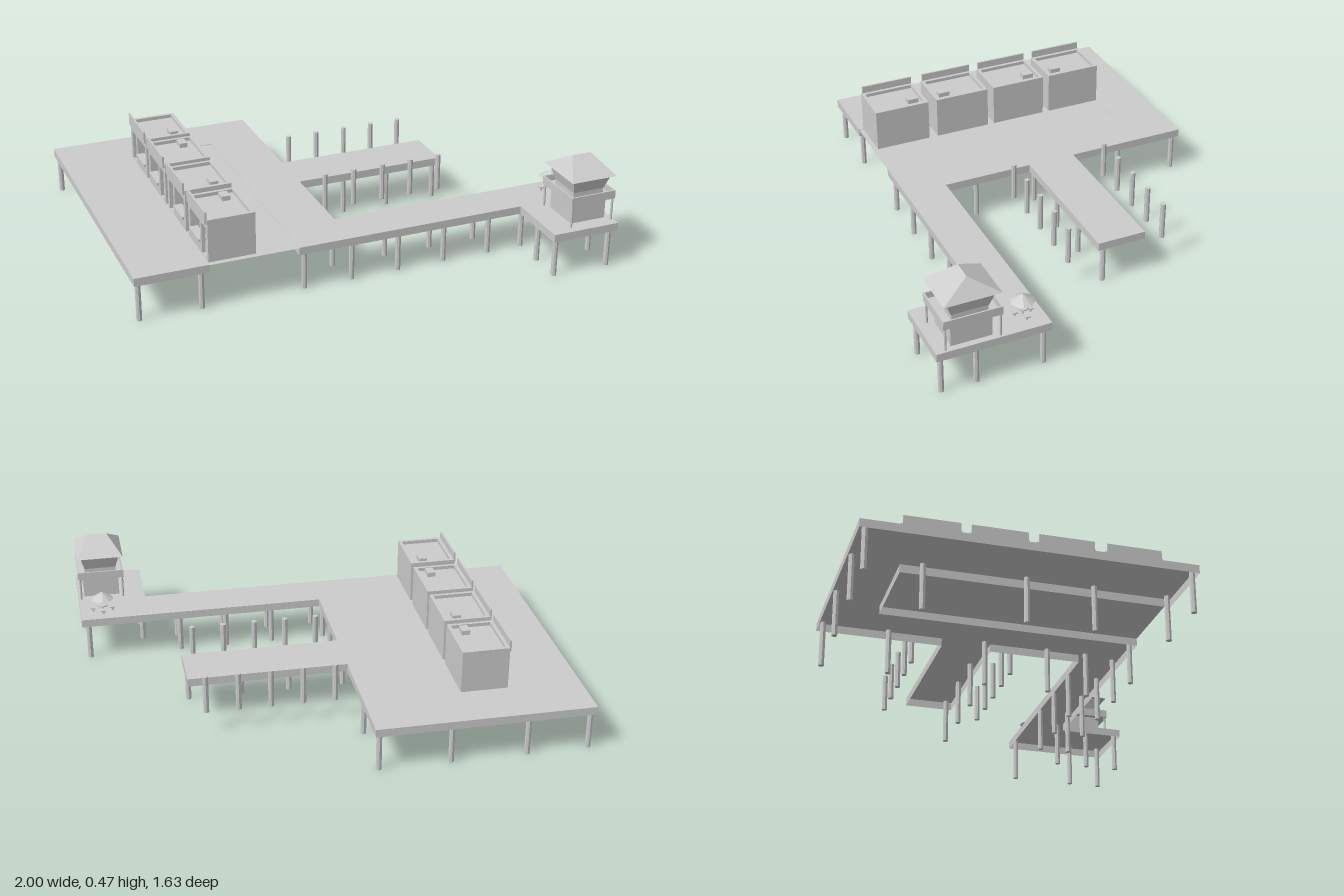
import * as THREE from 'three';

const mat = new THREE.MeshStandardMaterial({ color: 0xcccccc, flatShading: true, side: THREE.DoubleSide });

export function createModel() {
  const root = new THREE.Group();
  root.name = 'harbourDock';

  const add = (name, geo, x = 0, y = 0, z = 0, parent = root) => {
    const m = new THREE.Mesh(geo, mat);
    m.name = name;
    m.position.set(x, y, z);
    parent.add(m);
    return m;
  };
  // box given by its min and max corners
  const box = (name, x0, x1, y0, y1, z0, z1, parent) =>
    add(name, new THREE.BoxGeometry(x1 - x0, y1 - y0, z1 - z0), (x0 + x1) / 2, (y0 + y1) / 2, (z0 + z1) / 2, parent);
  const post = (name, x, z, y0, y1, r, parent) =>
    add(name, new THREE.CylinderGeometry(r, r, y1 - y0, 8), x, (y0 + y1) / 2, z, parent);
  // square tube or pyramid section with half sizes at bottom and top
  const taper = (name, x, z, y0, y1, a0, b0, a1, b1, parent) => {
    const g = new THREE.BoxGeometry(2, y1 - y0, 2);
    const p = g.attributes.position;
    for (let i = 0; i < p.count; i++) {
      const top = p.getY(i) > 0;
      p.setX(i, p.getX(i) * (top ? a1 : a0));
      p.setZ(i, p.getZ(i) * (top ? b1 : b0));
    }
    g.computeVertexNormals();
    return add(name, g, x, (y0 + y1) / 2, z, parent);
  };

  // Deck: open-bottomed sheet with a skirt along its outline
  const outline = [
    [-1, -0.815], [-0.08, -0.815], [-0.08, -0.275], [0.6, -0.275], [0.6, -0.06], [-0.08, -0.06],
    [-0.08, 0.34], [1, 0.34], [1, 0.815], [0.7, 0.815], [0.7, 0.525], [-0.31, 0.525],
    [-0.31, -0.595], [-0.69, -0.595], [-0.69, 0.525], [-1, 0.525],
  ];
  const TOP = 0.2, LOW = 0.165;
  const deck = new THREE.Group();
  deck.name = 'deck';
  root.add(deck);
  const shape = new THREE.Shape(outline.map(([x, z]) => new THREE.Vector2(x, -z)));
  add('deckTop', new THREE.ShapeGeometry(shape).rotateX(-Math.PI / 2), 0, TOP, 0, deck);
  outline.forEach(([x, z], i) => {
    const [u, w] = outline[(i + 1) % outline.length];
    const wall = add('deckSkirt', new THREE.PlaneGeometry(Math.hypot(u - x, w - z), TOP - LOW),
      (x + u) / 2, (TOP + LOW) / 2, (z + w) / 2, deck);
    wall.rotation.y = Math.atan2(z - w, u - x);
  });
  // ground sheet in the bay below the shops
  add('shopFloor', new THREE.PlaneGeometry(0.38, 1.12).rotateX(-Math.PI / 2), -0.5, 0.198, -0.035, deck);

  // Piles, by row: z, then x positions
  const piles = [
    [-0.79, [-0.98, -0.72, -0.4, -0.1]],
    [-0.51, [-0.72, -0.1]],
    [-0.09, [-0.72, -0.1, 0.14, 0.35, 0.58]],
    [0.19, [-0.72, -0.1]],
    [0.365, [-0.1, 0.14, 0.35, 0.56, 0.97]],
    [0.5, [-0.98, -0.72, -0.28, -0.07, 0.14, 0.35, 0.56, 0.72]],
    [0.645, [0.72, 0.97]],
    [0.79, [0.72, 0.97]],
  ];
  for (const [z, xs] of piles) for (const x of xs) post('pile', x, z, 0, 0.197, 0.012);

  // Mooring posts beside the middle pier
  for (const z of [-0.39, 0.05]) {
    for (let i = 0; i < 5; i++) post('mooringPost', -0.005 + i * 0.136, z, 0.105, 0.272, 0.012);
  }

  // Shops: hollow boxes with an open street side and a sunken roof
  const makeShop = (z, flip) => {
    const g = new THREE.Group();
    g.name = 'shop';
    const W = 0.125, H = 0.185;
    const rect = (T, z0, z1, y0, y1) => {
      const s = new T();
      s.moveTo(z0, y0); s.lineTo(z1, y0); s.lineTo(z1, y1); s.lineTo(z0, y1); s.closePath();
      return s;
    };
    const front = rect(THREE.Shape, -W, W, 0, H);
    front.holes.push(rect(THREE.Path, -0.1, 0.025, 0.055, 0.14), rect(THREE.Path, 0.045, 0.1, 0.005, 0.14));
    const fg = new THREE.ExtrudeGeometry(front, { depth: 0.015, bevelEnabled: false });
    add('shopFront', fg.rotateY(-Math.PI / 2), -0.085, 0, 0, g);
    box('backWall', 0.085, 0.1, 0, H, -W, W, g);
    for (const s of [-1, 1]) box('sideWall', -0.085, 0.085, 0, H, s * 0.1175 - 0.0075, s * 0.1175 + 0.0075, g);
    box('roof', -0.085, 0.085, 0.16, 0.17, -0.11, 0.11, g);
    box('signBoard', -0.108, -0.1, 0.165, 0.217, -0.118, 0.118, g);
    box('counter', -0.108, -0.07, 0.045, 0.055, -0.1, 0.025, g);
    box('roofVent', 0.02, 0.055, 0.17, 0.19, -0.095, -0.045, g);
    g.position.set(-0.588, 0.2, z);
    g.scale.z = flip;
    root.add(g);
  };
  makeShop(-0.47, -1);
  makeShop(-0.19, 1);
  makeShop(0.09, -1);
  makeShop(0.38, 1);

  // Watchtower
  const tower = new THREE.Group();
  tower.name = 'watchtower';
  tower.position.set(0.893, 0, 0.662);
  root.add(tower);
  box('towerBase', -0.08, 0.08, 0.2, 0.305, -0.085, 0.085, tower);
  box('balconyFloor', -0.102, 0.102, 0.3, 0.308, -0.12, 0.12, tower);
  for (const s of [-1, 1]) {
    box('balconyRail', -0.102, 0.102, 0.3, 0.336, s * 0.118 - 0.003, s * 0.118 + 0.003, tower);
    box('balconyRail', s * 0.1 - 0.003, s * 0.1 + 0.003, 0.3, 0.336, -0.12, 0.12, tower);
    for (const t of [-1, 1]) post('balconyPost', s * 0.095, t * 0.112, 0.2, 0.3, 0.005, tower);
  }
  box('cabinBase', -0.07, 0.07, 0.308, 0.34, -0.075, 0.075, tower);
  taper('cabin', 0, 0, 0.335, 0.4, 0.07, 0.077, 0.088, 0.1, tower);
  taper('hipRoof', 0, 0, 0.4, 0.47, 0.104, 0.118, 0.043, 0.0005, tower);

  // Table with parasol and stools
  const seating = new THREE.Group();
  seating.name = 'parasolTable';
  seating.position.set(0.9, 0.2, 0.42);
  root.add(seating);
  post('parasolPole', 0, 0, 0, 0.08, 0.003, seating);
  add('parasol', new THREE.ConeGeometry(0.05, 0.033, 10, 1, true), 0, 0.078, 0, seating);
  add('tableTop', new THREE.CylinderGeometry(0.026, 0.026, 0.005, 10), 0, 0.031, 0, seating);
  for (let i = 0; i < 4; i++) {
    const a = i * Math.PI / 2, x = 0.043 * Math.cos(a), z = 0.033 * Math.sin(a);
    box('stoolSeat', x - 0.011, x + 0.011, 0.015, 0.02, z - 0.011, z + 0.011, seating);
    post('stoolLeg', x, z, 0, 0.015, 0.004, seating);
  }
  return root;
}
